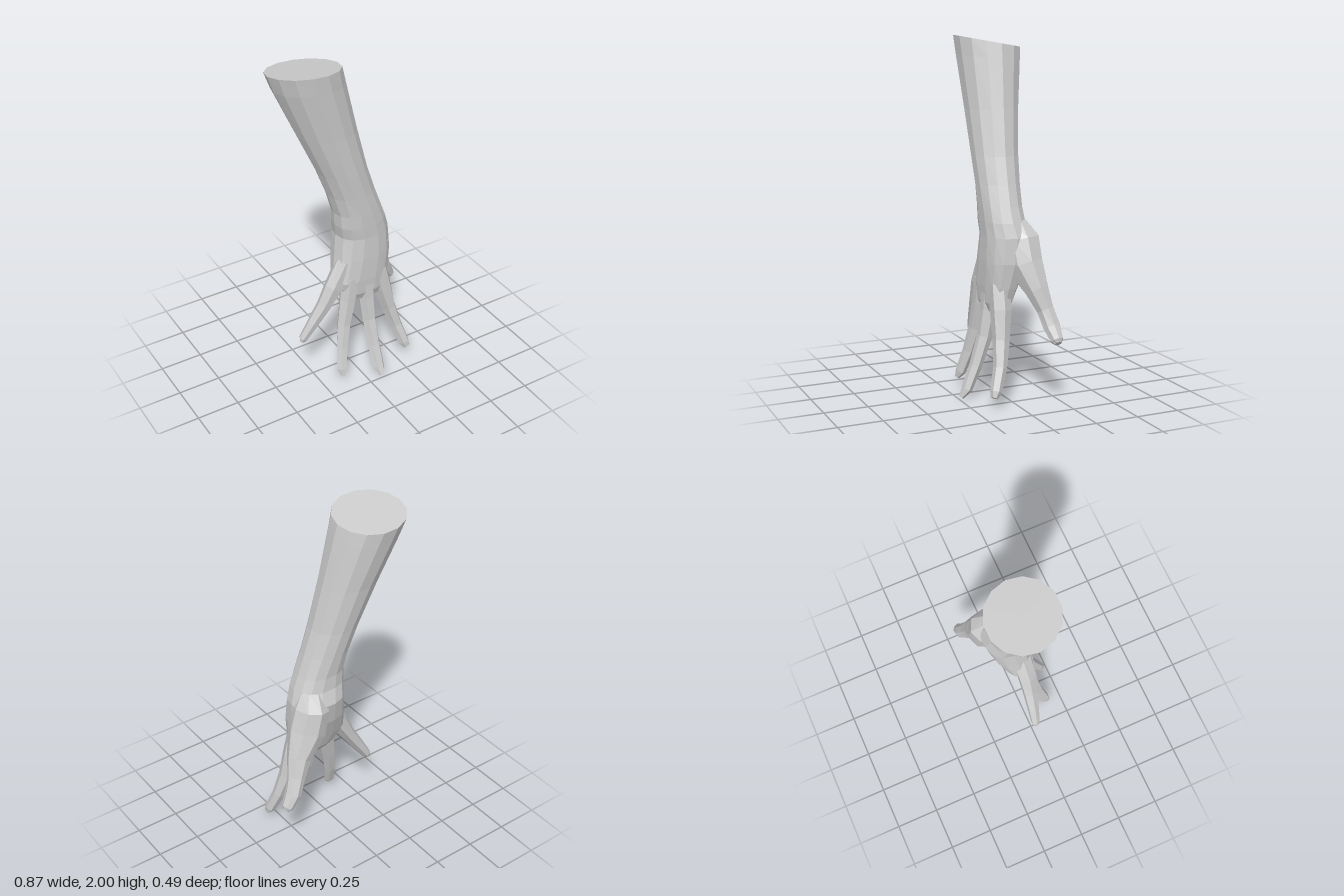
import * as THREE from 'three';

const material = new THREE.MeshStandardMaterial({ color: 0xcccccc, flatShading: true });

// Skin a list of equal-length point rings and close both ends with fans.
function loft(name, rings) {
  const pos = [];
  const n = rings[0].length;
  const tri = (...pts) => pts.forEach((p) => pos.push(p.x, p.y, p.z));
  const middle = (ring) => ring.reduce((s, p) => s.add(p), new THREE.Vector3()).divideScalar(n);
  const first = rings[0], last = rings[rings.length - 1];
  const c0 = middle(first), c1 = middle(last);
  for (let j = 0; j < n; j++) {
    const k = (j + 1) % n;
    for (let i = 0; i < rings.length - 1; i++) {
      const a = rings[i], b = rings[i + 1];
      tri(a[j], a[k], b[j]);
      tri(a[k], b[k], b[j]);
    }
    tri(c0, first[k], first[j]);
    tri(c1, last[j], last[k]);
  }
  const geometry = new THREE.BufferGeometry();
  geometry.setAttribute('position', new THREE.Float32BufferAttribute(pos, 3));
  geometry.computeVertexNormals();
  const mesh = new THREE.Mesh(geometry, material);
  mesh.name = name;
  return mesh;
}

// Level ring from its bounds; square < 1 makes it boxier, slope tips it along z.
function levelRing([y, x0, x1, z0, z1, square = 1, slope = 0], sides = 14) {
  const soft = (v) => Math.sign(v) * Math.abs(v) ** square;
  return Array.from({ length: sides }, (_, j) => {
    const a = (j / sides) * Math.PI * 2;
    const dz = (soft(Math.sin(a)) * (z1 - z0)) / 2;
    const dx = (soft(Math.cos(a)) * (x1 - x0)) / 2;
    return new THREE.Vector3((x0 + x1) / 2 + dx, y + dz * slope - dx * slope * 0.3, (z0 + z1) / 2 + dz);
  });
}

// Digit along a path of [x, y, z, half width, half depth], rings square to the path.
function digit(name, path, sides = 6) {
  const points = path.map(([x, y, z]) => new THREE.Vector3(x, y, z));
  const rings = path.map(([, , , w, d], i) => {
    const t = points[Math.min(i + 1, points.length - 1)].clone().sub(points[Math.max(i - 1, 0)]).normalize();
    const u = new THREE.Vector3(1, 0, 0);
    u.addScaledVector(t, -u.dot(t)).normalize();
    const v = t.clone().cross(u);
    return Array.from({ length: sides }, (_, j) => {
      const a = (j / sides) * Math.PI * 2;
      return points[i].clone().addScaledVector(u, Math.cos(a) * w).addScaledVector(v, Math.sin(a) * d);
    });
  });
  return loft(name, rings);
}

export function createModel() {
  const group = new THREE.Group();
  group.name = 'forearmAndHand';

  // Forearm, wrist and palm in one skin
  const armRings = [
    [1.97, -0.44, -0.03, -0.255, 0.125, 1, 0.17],
    [1.88, -0.41, -0.01, -0.24, 0.12, 1, 0.1],
    [1.6, -0.29, 0.05, -0.19, 0.11],
    [1.35, -0.18, 0.108, -0.155, 0.108],
    [1.2, -0.125, 0.155, -0.14, 0.106],
    [1.08, -0.09, 0.195, -0.13, 0.105, 0.9],
    [1.0, -0.085, 0.225, -0.135, 0.104, 0.85],
    [0.92, -0.07, 0.25, -0.165, 0.102, 0.85],
    [0.78, -0.09, 0.255, -0.135, 0.106, 0.8],
    [0.64, -0.115, 0.235, -0.08, 0.105, 0.75],
    [0.55, -0.075, 0.215, -0.045, 0.1, 0.75],
    [0.5, -0.04, 0.2, -0.01, 0.08, 0.8],
  ];
  group.add(loft('forearmAndPalm', armRings.map((r) => levelRing(r))));

  // Four fingers
  group.add(digit('littleFinger', [
    [-0.04, 0.76, 0.02, 0.05, 0.06],
    [-0.12, 0.61, 0.025, 0.055, 0.055],
    [-0.18, 0.5, 0.02, 0.043, 0.045],
    [-0.25, 0.39, 0.01, 0.035, 0.035],
    [-0.31, 0.295, 0.0, 0.026, 0.026],
    [-0.32, 0.275, 0.0, 0.014, 0.014],
  ]));
  group.add(digit('ringFinger', [
    [-0.02, 0.66, 0.045, 0.05, 0.06],
    [-0.045, 0.51, 0.055, 0.048, 0.055],
    [-0.08, 0.36, 0.075, 0.04, 0.042],
    [-0.11, 0.22, 0.105, 0.036, 0.036],
    [-0.135, 0.095, 0.145, 0.033, 0.03],
    [-0.14, 0.06, 0.165, 0.014, 0.014],
  ]));
  group.add(digit('middleFinger', [
    [0.075, 0.66, 0.045, 0.05, 0.06],
    [0.078, 0.5, 0.06, 0.045, 0.055],
    [0.08, 0.35, 0.09, 0.04, 0.045],
    [0.082, 0.19, 0.145, 0.038, 0.036],
    [0.083, 0.06, 0.2, 0.036, 0.03],
    [0.083, 0.015, 0.235, 0.014, 0.014],
  ]));
  group.add(digit('indexFinger', [
    [0.165, 0.66, 0.04, 0.055, 0.06],
    [0.195, 0.52, 0.045, 0.06, 0.06],
    [0.235, 0.36, 0.06, 0.043, 0.048],
    [0.275, 0.22, 0.085, 0.038, 0.038],
    [0.31, 0.1, 0.125, 0.033, 0.033],
    [0.32, 0.068, 0.14, 0.022, 0.02],
  ]));

  // Thumb with the heavy pad at its root
  group.add(digit('thumb', [
    [0.14, 0.99, -0.07, 0.07, 0.06],
    [0.165, 0.9, -0.09, 0.1, 0.11],
    [0.2, 0.76, -0.1, 0.11, 0.105],
    [0.28, 0.63, -0.135, 0.07, 0.068],
    [0.32, 0.53, -0.165, 0.052, 0.05],
    [0.36, 0.44, -0.185, 0.045, 0.05],
    [0.405, 0.375, -0.195, 0.034, 0.036],
    [0.42, 0.36, -0.195, 0.016, 0.02],
  ], 8));

  return group;
}
